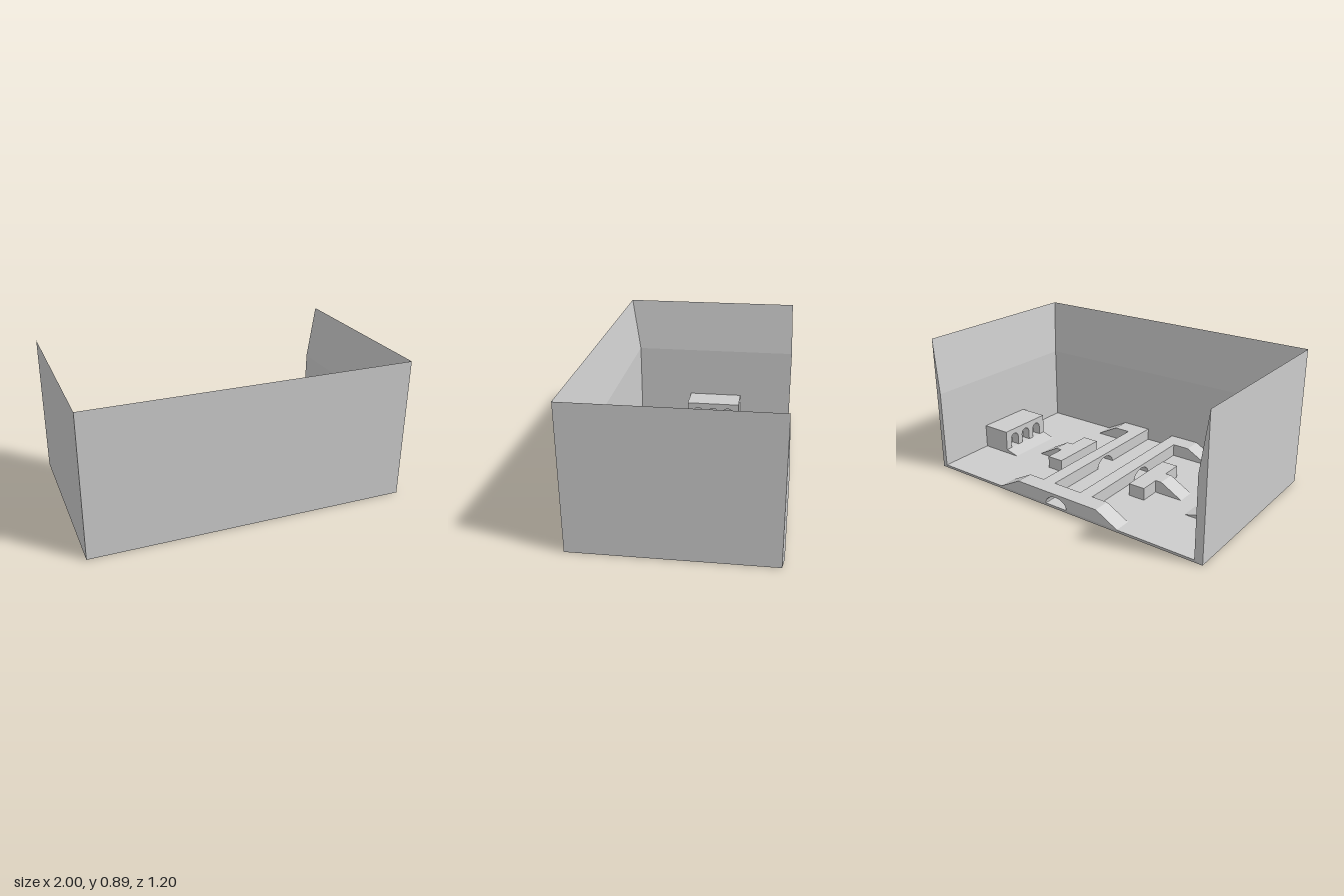
import * as THREE from 'three';

const FLOOR = 0.025, DECK = 0.105;
const stone = new THREE.MeshStandardMaterial({ color: 0xcccccc });
stone.name = 'plain grey';

function add(parent, name, geometry) {
  const mesh = new THREE.Mesh(geometry, stone);
  mesh.name = name;
  parent.add(mesh);
  return mesh;
}

function outline(points) {
  return new THREE.Shape(points.map(([x, y]) => new THREE.Vector2(x, y)));
}

// profile in x-y, running along z
function alongZ(shape, z0, z1) {
  return new THREE.ExtrudeGeometry(shape, { depth: z1 - z0, bevelEnabled: false, curveSegments: 10 }).translate(0, 0, z0);
}

// profile in z-y, running along x
function alongX(shape, x0, x1) {
  return new THREE.ExtrudeGeometry(shape, { depth: x1 - x0, bevelEnabled: false, curveSegments: 10 })
    .rotateY(-Math.PI / 2).translate(x1, 0, 0);
}

function box(x0, x1, y0, y1, z0, z1) {
  return new THREE.BoxGeometry(x1 - x0, y1 - y0, z1 - z0)
    .translate((x0 + x1) / 2, (y0 + y1) / 2, (z0 + z1) / 2);
}

// U-shaped wall with a tapering top, closed by a floor slab
function shellGeometry() {
  const station = (s, zOuter, zInner) => [
    [s, 0, zOuter], [s, 0.89, zOuter], [0.955 * s, 0.53, zInner], [0.955 * s, FLOOR, zInner],
  ];
  const st = [station(-1, -0.588, -0.6), station(-1, 0.6, 0.54), station(1, 0.6, 0.54), station(1, -0.588, -0.6)];
  const pos = [];
  const quad = (a, b, c, d) => pos.push(...a, ...b, ...c, ...a, ...c, ...d);
  for (let i = 0; i < 3; i++) {
    for (let j = 0; j < 3; j++) quad(st[i][j], st[i + 1][j], st[i + 1][j + 1], st[i][j + 1]);
  }
  quad(st[0][0], st[0][1], st[0][2], st[0][3]);
  quad(st[3][0], st[3][3], st[3][2], st[3][1]);
  quad(st[0][3], st[1][3], st[2][3], st[3][3]);
  quad(st[3][0], st[2][0], st[1][0], st[0][0]);
  quad(st[3][0], st[0][0], st[0][3], st[3][3]);
  const geometry = new THREE.BufferGeometry();
  geometry.setAttribute('position', new THREE.Float32BufferAttribute(pos, 3));
  geometry.computeVertexNormals();
  return geometry;
}

export function createModel() {
  const model = new THREE.Group();
  model.name = 'arena';
  add(model, 'wallsAndFloor', shellGeometry());

  // rear bridge with a ramp at each end and an arch below
  const bridge = outline([[-0.45, FLOOR], [-0.3, DECK], [0.3, DECK], [0.45, FLOOR], [0.08, FLOOR]]);
  bridge.absellipse(0, FLOOR, 0.08, 0.06, 0, Math.PI, false);
  add(model, 'rearBridge', alongZ(bridge, -0.6, -0.49));

  for (const s of [1, -1]) {
    const side = new THREE.Group();
    side.name = s > 0 ? 'leftSide' : 'rightSide';
    model.add(side);
    const span = (a, b) => (s > 0 ? [a, b] : [-b, -a]);

    // long raised walkway with an arched passage
    const walk = outline([[-0.49, FLOOR], [-0.49, DECK], [0.54, DECK], [0.54, FLOOR], [0.105, FLOOR]]);
    walk.absellipse(0.025, FLOOR, 0.08, 0.06, 0, Math.PI, false);
    add(side, 'walkway', alongX(walk, ...span(0.1, 0.19)));

    // front landing and ramp
    add(side, 'frontRamp', alongZ(outline([
      [s * 0.19, FLOOR], [s * 0.45, FLOOR], [s * 0.3, DECK], [s * 0.19, DECK],
    ]), 0.42, 0.54));

    // middle platform with a narrow ramp
    add(side, 'middlePlatform', box(...span(0.27, 0.38), FLOOR, DECK, -0.225, 0.155));
    add(side, 'middleRamp', alongZ(outline([
      [s * 0.38, FLOOR], [s * 0.565, FLOOR], [s * 0.42, DECK], [s * 0.38, DECK],
    ]), -0.095, 0.02));

    // building against the side wall, with an arcade and a low apron
    const arcade = outline([[-0.225, FLOOR], [0.155, FLOOR], [0.155, 0.18], [-0.225, 0.18]]);
    for (let i = -1; i <= 1; i++) {
      const z = -0.035 + i * 0.11, arch = new THREE.Path();
      arch.moveTo(z - 0.035, 0.05);
      arch.lineTo(z + 0.035, 0.05);
      arch.absarc(z, 0.11, 0.035, 0, Math.PI, false);
      arch.closePath();
      arcade.holes.push(arch);
    }
    add(side, 'arcade', alongX(arcade, ...span(0.7, 0.76).map((x) => x + s * 0.06)));
    add(side, 'building', box(...span(0.82, 0.955), FLOOR, 0.18, -0.225, 0.155));
    add(side, 'apron', alongZ(outline([
      [s * 0.67, FLOOR], [s * 0.76, FLOOR], [s * 0.76, 0.05],
    ]), -0.225, 0.155));
  }
  return model;
}
